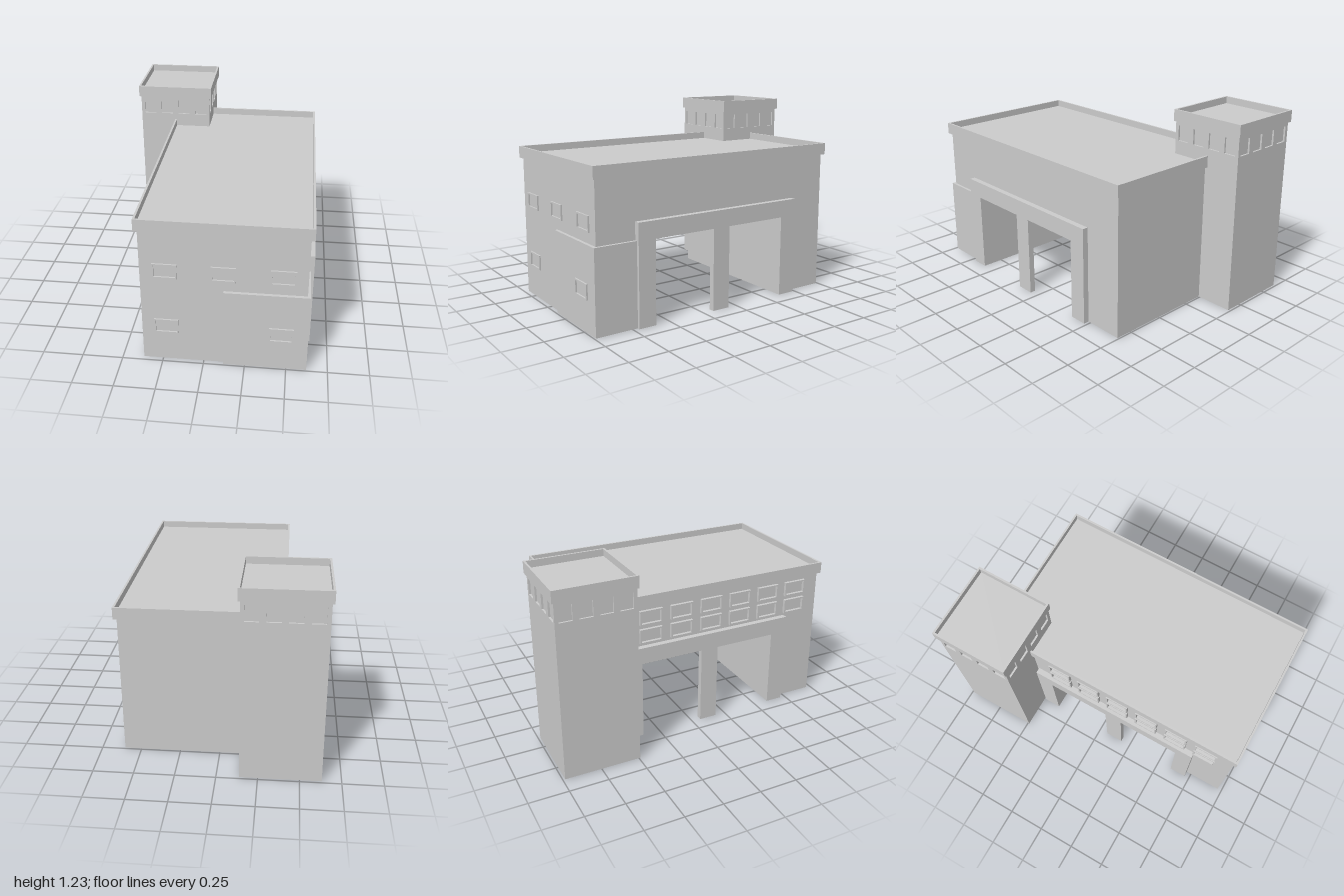
import * as THREE from 'three';

const material = new THREE.MeshStandardMaterial({ color: 0xcccccc, side: THREE.DoubleSide });

function add(parent, name, geometry) {
  const mesh = new THREE.Mesh(geometry, material);
  mesh.name = name;
  parent.add(mesh);
  return mesh;
}

function rect(Type, x0, x1, y0, y1) {
  return new Type([[x0, y0], [x1, y0], [x1, y1], [x0, y1]].map(p => new THREE.Vector2(...p)));
}

const polygon = pts => new THREE.Shape(pts.map(p => new THREE.Vector2(...p)));
const extrude = (shape, depth) => new THREE.ExtrudeGeometry(shape, { depth, bevelEnabled: false });

// Box given by its limits on each axis
function box(x0, x1, y0, y1, z0, z1) {
  return new THREE.BoxGeometry(x1 - x0, y1 - y0, z1 - z0)
    .translate((x0 + x1) / 2, (y0 + y1) / 2, (z0 + z1) / 2);
}

// Drops the faces lying on the ground, leaving a hollow shell
function openBottom(source) {
  const geo = source.index ? source.toNonIndexed() : source;
  const pos = geo.attributes.position, kept = [];
  for (let i = 0; i < pos.count; i += 3) {
    if (Math.max(pos.getY(i), pos.getY(i + 1), pos.getY(i + 2)) < 1e-4) continue;
    for (let k = 0; k < 3; k++) kept.push(pos.getX(i + k), pos.getY(i + k), pos.getZ(i + k));
  }
  const shell = new THREE.BufferGeometry();
  shell.setAttribute('position', new THREE.Float32BufferAttribute(kept, 3));
  shell.computeVertexNormals();
  return shell;
}

// Extrudes a (z, y) profile along x, from x0 to x1
function extrudeAlongX(shape, x0, x1) {
  return extrude(shape, x1 - x0).rotateY(-Math.PI / 2).translate(x1, 0, 0);
}

// Flat roof with a raised rim around it
function parapet(parent, name, x0, x1, y0, y1, z0, z1) {
  const rim = 0.013, group = new THREE.Group();
  group.name = name;
  const ring = rect(THREE.Shape, x0, x1, -z1, -z0);
  ring.holes.push(rect(THREE.Path, x0 + rim, x1 - rim, -z1 + rim, -z0 - rim));
  add(group, 'rim', extrude(ring, y1 - y0).rotateX(-Math.PI / 2).translate(0, y0, 0));
  add(group, 'roof', box(x0 + rim, x1 - rim, y0, y1 - 0.045, z0 + rim, z1 - rim));
  parent.add(group);
}

// Window surround standing proud of a wall; the wall is its pane
function windowFrame(parent, name, w, h, depth) {
  const b = 0.01, inset = 0.008;
  const ring = rect(THREE.Shape, -w / 2, w / 2, -h / 2, h / 2);
  ring.holes.push(rect(THREE.Path, -w / 2 + b, w / 2 - b, -h / 2 + b, h / 2 - b));
  return add(parent, name, extrude(ring, depth + inset).translate(0, 0, -inset));
}

export function createModel() {
  const model = new THREE.Group();
  model.name = 'building';

  // Main hall with a passage running through it from side to side
  const hall = polygon([[0.97, 0], [0.97, 0.905], [-0.74, 0.905], [-0.74, 0],
    [-0.365, 0], [-0.365, 0.525], [0.6, 0.525], [0.6, 0]]);
  add(model, 'mainHall', openBottom(extrudeAlongX(hall, -0.37, 0.605)));
  parapet(model, 'hallParapet', -0.39, 0.625, 0.905, 0.98, -0.757, 0.988);

  // Portal with two openings and a middle post on each side
  const portal = polygon([[0.715, 0], [0.715, 0.635], [-0.48, 0.635], [-0.48, 0],
    [-0.365, 0], [-0.365, 0.525], [0.06, 0.525], [0.06, 0], [0.18, 0],
    [0.18, 0.525], [0.6, 0.525], [0.6, 0]]);
  add(model, 'leftPortal', extrudeAlongX(portal, 0.605, 0.642));
  add(model, 'rightPortal', extrudeAlongX(portal, -0.407, -0.37));

  // Thickened lower front corner
  add(model, 'cornerBlock', openBottom(box(0.12, 0.623, 0, 0.525, 0.715, 0.99)));

  // Front windows: x, y, wall z
  for (const [x, y, z] of [[-0.223, 0.64, 0.97], [0.118, 0.64, 0.97], [0.463, 0.64, 0.97],
    [-0.223, 0.248, 0.97], [0.463, 0.248, 0.99]]) {
    windowFrame(model, 'frontWindow', 0.146, 0.097, 0.01).position.set(x, y, z);
  }

  // Two rows of windows along the right side
  for (const y of [0.703, 0.828]) {
    for (let i = 0; i < 6; i++) {
      const frame = windowFrame(model, 'sideWindow', 0.155, 0.097, 0.02);
      frame.rotation.y = -Math.PI / 2;
      frame.position.set(-0.37, y, 0.785 - i * 0.215);
    }
  }

  // Tower: four walls, each with a row of shallow window niches near the top
  const tower = new THREE.Group();
  tower.name = 'tower';
  tower.position.set(-0.385, 0, -0.738);
  const half = 0.247, niche = 0.012;
  for (let side = 0; side < 4; side++) {
    const wall = rect(THREE.Shape, -half, half, 0, 1.15);
    for (let i = 0; i < 4; i++) {
      const x = (i - 1.5) * 0.122;
      wall.holes.push(rect(THREE.Path, x - 0.041, x + 0.041, 1.025, 1.125));
    }
    const group = new THREE.Group();
    group.name = 'towerSide';
    group.rotation.y = side * Math.PI / 2;
    add(group, 'towerWall', openBottom(extrude(wall, niche).translate(0, 0, half - niche)));
    add(group, 'towerPanes', new THREE.PlaneGeometry(2 * half - 0.03, 0.14)
      .translate(0, 1.075, half - niche));
    tower.add(group);
  }
  parapet(tower, 'towerParapet', -0.26, 0.26, 1.15, 1.226, -0.26, 0.255);
  model.add(tower);

  return model;
}
